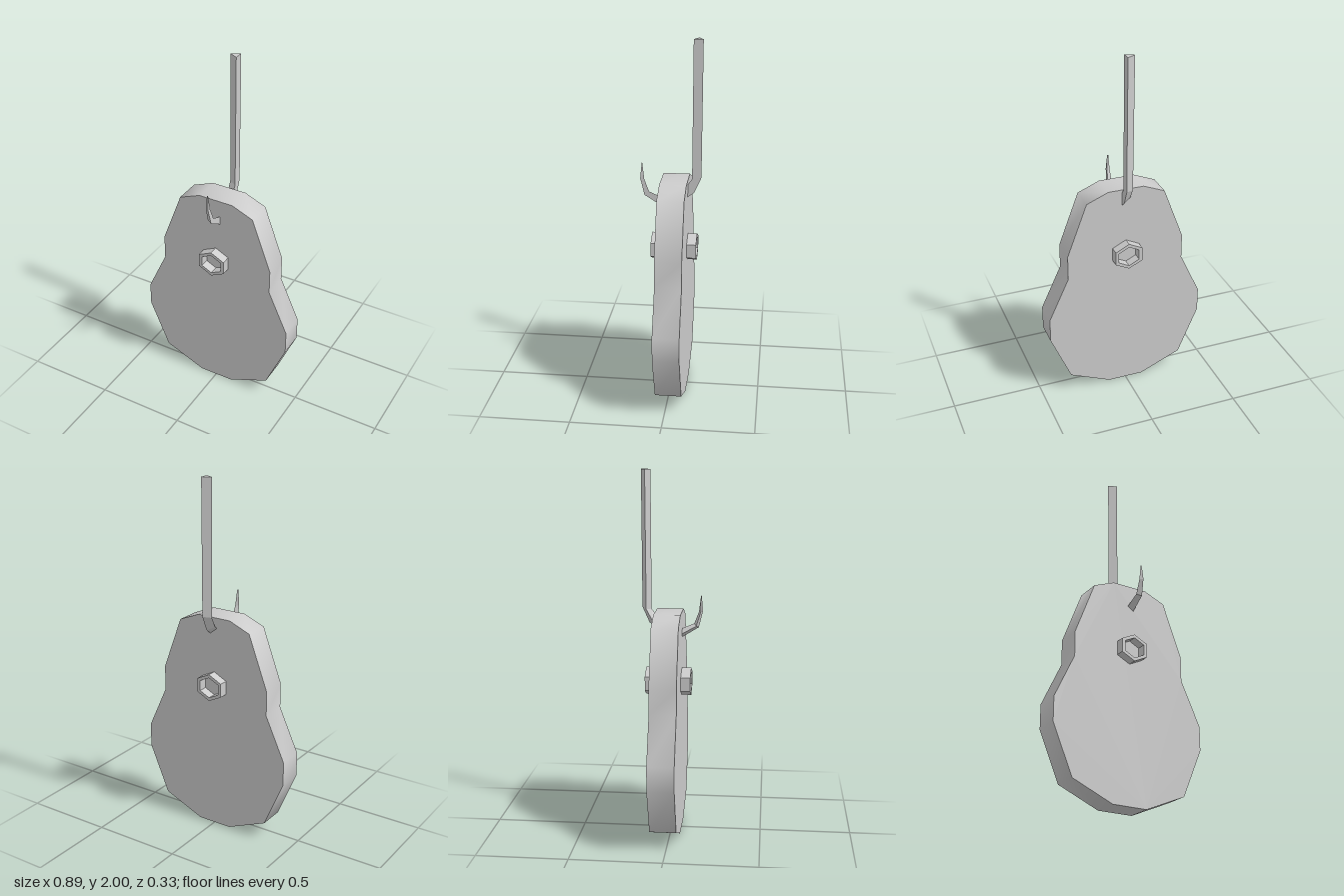
import * as THREE from 'three';
import { toCreasedNormals } from 'three/addons/utils/BufferGeometryUtils.js';

const material = new THREE.MeshStandardMaterial({ color: 0xcccccc });
const flatMaterial = new THREE.MeshStandardMaterial({ color: 0xcccccc, flatShading: true });

// Extrude a shape from z0 to z1, with sharp edges above the crease angle
function slab(shape, z0, z1, crease) {
  const g = new THREE.ExtrudeGeometry(shape, { depth: z1 - z0, bevelEnabled: false });
  g.translate(0, 0, z0);
  return toCreasedNormals(g, crease);
}

// Hexagon with a corner at the top, as wide as it is high
function hexagon(r) {
  const points = [];
  for (let i = 0; i < 6; i++) {
    const a = Math.PI / 2 + (i * Math.PI) / 3;
    points.push(new THREE.Vector2((Math.cos(a) * r) / Math.cos(Math.PI / 6), Math.sin(a) * r));
  }
  return points;
}

function addMesh(parent, name, geometry, mat = material) {
  const mesh = new THREE.Mesh(geometry, mat);
  mesh.name = name;
  parent.add(mesh);
  return mesh;
}

// Triangular bar lofted through sections: [outer z, outer y, inner z, inner y, apex x, right x]
function triangularBar(sections) {
  const rings = sections.map(([oz, oy, iz, iy, ax, rx]) => [
    [rx, oy, oz],
    [rx, iy, iz],
    [ax, (oy + iy) / 2, (oz + iz) / 2],
  ]);
  const pos = [];
  const tri = (...corners) => corners.forEach((c) => pos.push(...c));
  for (let s = 0; s < rings.length - 1; s++) {
    const a = rings[s], b = rings[s + 1];
    for (let p = 0; p < 3; p++) {
      const q = (p + 1) % 3;
      tri(a[p], a[q], b[q]);
      tri(a[p], b[q], b[p]);
    }
  }
  const first = rings[0], last = rings[rings.length - 1];
  tri(first[0], first[2], first[1]);
  tri(last[0], last[1], last[2]);
  const g = new THREE.BufferGeometry();
  g.setAttribute('position', new THREE.Float32BufferAttribute(pos, 3));
  g.computeVertexNormals();
  return g;
}

export function createModel() {
  const model = new THREE.Group();
  model.name = 'hangingWeight';

  // Pear-shaped plate, mirrored from its right-hand outline
  const half = [
    [0.1, 0], [0.333, 0.1], [0.447, 0.37], [0.447, 0.505],
    [0.334, 0.75], [0.334, 0.89], [0.222, 1.19], [0.1, 1.24],
  ];
  const outline = [...half, ...half.map(([x, y]) => [-x, y]).reverse()];
  const plateShape = new THREE.Shape(outline.map(([x, y]) => new THREE.Vector2(x, y)));
  addMesh(model, 'plate', slab(plateShape, -0.09, 0.055, Math.PI / 3));

  // Hollow hexagonal nut on each face
  const nutShape = new THREE.Shape(hexagon(0.077));
  nutShape.holes.push(new THREE.Path(hexagon(0.058).reverse()));
  for (const [name, z0, z1] of [['frontNut', 0.05, 0.107], ['backNut', -0.141, -0.085]]) {
    addMesh(model, name, slab(nutShape, z0, z1, Math.PI / 6)).position.y = 0.853;
  }

  // Hook: straight shank behind, through the plate, curling to a point in front
  addMesh(model, 'hook', triangularBar([
    [-0.167, 2.0, -0.116, 2.0, -0.025, 0.022],
    [-0.163, 1.26, -0.113, 1.25, -0.02, 0.024],
    [-0.125, 1.175, -0.087, 1.215, -0.018, 0.024],
    [-0.08, 1.14, -0.07, 1.2, -0.018, 0.024],
    [0.05, 1.093, 0.05, 1.142, -0.01, 0.025],
    [0.145, 1.152, 0.12, 1.172, -0.004, 0.024],
    [0.168, 1.245, 0.146, 1.24, 0.001, 0.02],
    [0.16, 1.33, 0.157, 1.33, 0.008, 0.014],
  ]), flatMaterial);

  return model;
}
